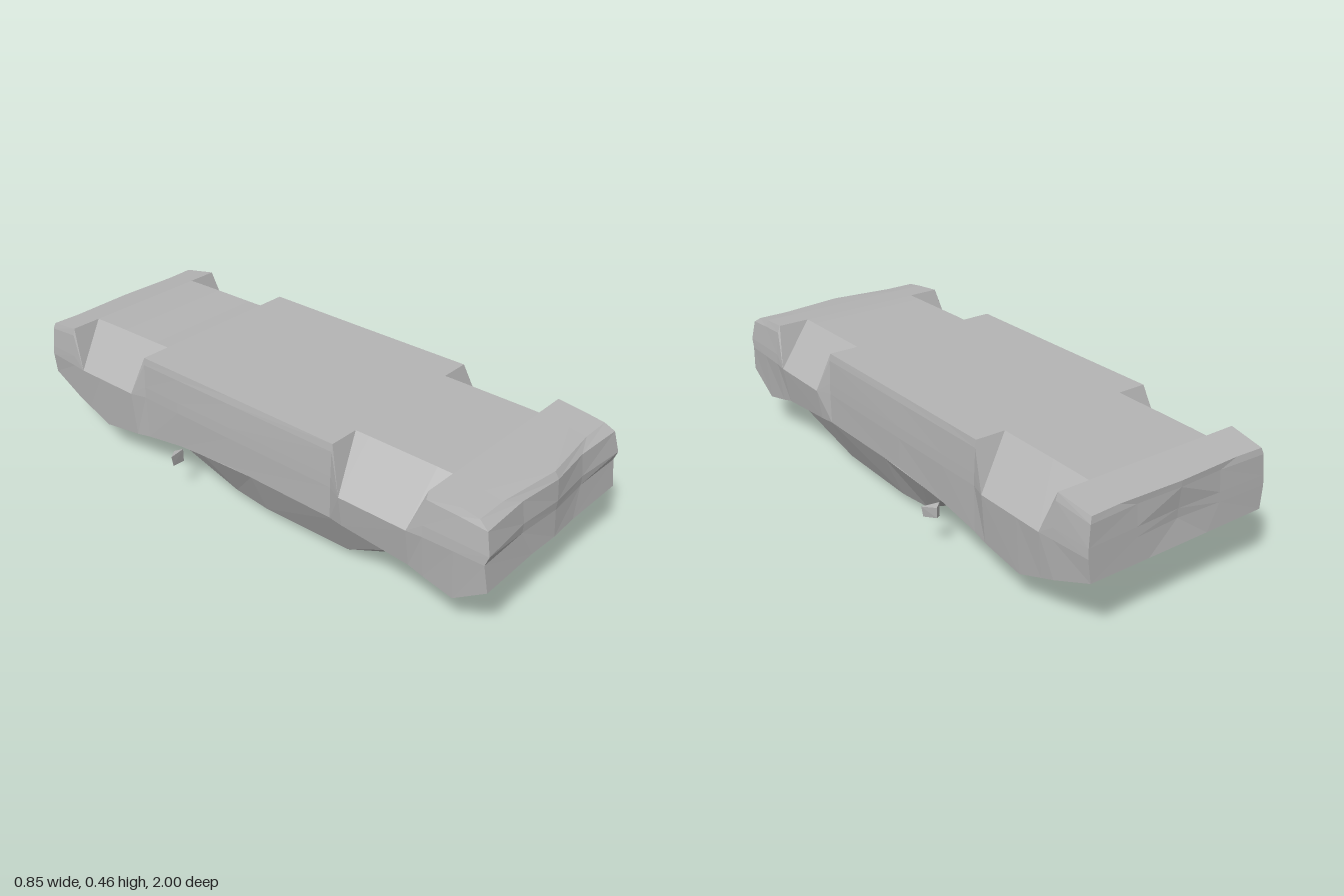
import * as THREE from 'three';
import { ConvexGeometry } from 'three/addons/geometries/ConvexGeometry.js';

const paint = new THREE.MeshStandardMaterial({ color: 0xb4b4b4, flatShading: true, side: THREE.DoubleSide });
paint.name = 'grey paint';

// Skins a grid of [x, y, z] points for the +x half and mirrors it to -x.
function mirroredGrid(name, grids) {
  const pos = [];
  const tri = (p, q, s) => {
    pos.push(...p, ...q, ...s);
    for (const [x, y, z] of [p, s, q]) pos.push(-x, y, z);
  };
  for (const { rows, flip = () => false } of grids) {
    for (let r = 0; r < rows.length - 1; r++) {
      for (let c = 0; c < rows[r].length - 1; c++) {
        const a = rows[r][c], b = rows[r][c + 1], d = rows[r + 1][c], e = rows[r + 1][c + 1];
        if (flip(r, c)) { tri(a, d, e); tri(a, e, b); }
        else { tri(a, d, b); tri(b, d, e); }
      }
    }
  }
  const geo = new THREE.BufferGeometry();
  geo.setAttribute('position', new THREE.Float32BufferAttribute(pos, 3));
  geo.computeVertexNormals();
  const mesh = new THREE.Mesh(geo, paint);
  mesh.name = name;
  return mesh;
}

// Half ring: deck centre, deck, belt edge, waist, two side points, floor edge, floor, floor centre.
// In a wheel arch the floor edge drops to the waist, leaving a sloping cut.
function ring(z, yDeck, xBelt, yBelt, xWaist, xFloor, yFloor, arch = false, dz = []) {
  const yWaist = 0.305;
  const side = (t, y) => arch ? [xWaist, yWaist] : [xWaist + (xFloor - xWaist) * t, y];
  const f = (y) => yWaist + (yFloor - yWaist) * y;
  return [
    [0, yDeck], [0.12, yDeck], [xBelt, yBelt], [xWaist, yWaist],
    side(0.1, f(0.26)), side(0.55, f(0.83)), side(1, yFloor), [0.24, yFloor], [0, yFloor],
  ].map(([x, y], i) => [x, y, z + (dz[i] || 0)]);
}

// End panel: rows run from the floor edge to the belt edge, inset in the middle by given depths.
function endPanel(r, insets) {
  const mid = [5, 4, 3].map((i, k) => {
    const [x, y, z] = r[i];
    return [[0, y, z + insets[k][0]], [0.17, y, z + insets[k][1]], [x, y, z]];
  });
  return [[r[8], r[7], r[6]], ...mid, [r[0], r[1], r[2]]];
}

function createBody() {
  const stations = [
    [1.0, 0.207, 0.37, 0.21, 0.375, 0.355, 0.437, false, [0, -0.005, 0, -0.015, -0.002, -0.02, -0.055, -0.055, -0.025]],
    [0.88, 0.1, 0.365, 0.125, 0.378, 0.355, 0.447],
    [0.77, 0.14, 0.365, 0.15, 0.382, 0.36, 0.457],
    [0.715, 0.165, 0.365, 0.165, 0.388, 0.36, 0.458, true],
    [0.455, 0.19, 0.37, 0.19, 0.388, 0.36, 0.46, true],
    [0.4, 0.19, 0.362, 0.19, 0.362, 0.352, 0.46],
    [-0.05, 0.19, 0.36, 0.19, 0.362, 0.35, 0.46],
    [-0.3, 0.167, 0.355, 0.167, 0.36, 0.35, 0.46],
    [-0.47, 0.128, 0.355, 0.14, 0.358, 0.35, 0.46],
    [-0.53, 0.113, 0.36, 0.13, 0.375, 0.35, 0.459, true],
    [-0.7, 0.08, 0.36, 0.105, 0.375, 0.35, 0.457, true],
    [-0.8, 0.115, 0.36, 0.144, 0.375, 0.35, 0.455, true],
    [-0.855, 0.143, 0.36, 0.165, 0.37, 0.355, 0.453],
    [-1.0, 0.22, 0.35, 0.225, 0.36, 0.345, 0.432, false, [0.005, 0.005, 0, 0.004, 0.006, 0.01, 0.015, 0.02, 0.012]],
  ];
  const rows = stations.map((s) => ring(...s));
  // Turn the floor-edge diagonal where an arch ends.
  const flip = (r, c) => c === 6 && !!stations[r][7] && !stations[r + 1][7];
  return mirroredGrid('body', [
    { rows, flip },
    { rows: endPanel(rows[0], [[0.01, -0.008], [-0.002, -0.015], [0.008, -0.004]]) },
    { rows: endPanel(rows.at(-1), [[0.002, 0.008], [0.012, 0.006], [0.015, 0.006]]).reverse() },
  ]);
}

// Cabin: each row runs from the centre line to the roof corner, then to the belt.
function createCabin() {
  return mirroredGrid('cabin', [{ rows: [
    [[0, 0.165, 0.71], [0.11, 0.165, 0.71], [0.33, 0.172, 0.68], [0.36, 0.185, 0.65]],
    [[0, 0.005, 0.41], [0.11, 0.005, 0.41], [0.28, 0.024, 0.41], [0.36, 0.19, 0.42]],
    [[0, 0, 0.05], [0.11, 0.001, 0.05], [0.285, 0.022, 0.05], [0.36, 0.19, 0.05]],
    [[0, 0.012, -0.14], [0.11, 0.012, -0.14], [0.28, 0.033, -0.1], [0.358, 0.178, -0.18]],
    [[0, 0.157, -0.36], [0.13, 0.157, -0.36], [0.345, 0.165, -0.28], [0.355, 0.169, -0.285]],
  ] }]);
}

function createMirror(s) {
  const points = [
    [0.36, 0.115, -0.285], [0.36, 0.165, -0.285], [0.425, 0.165, -0.275],
    [0.418, 0.126, -0.275], [0.385, 0.122, -0.305], [0.385, 0.16, -0.305],
  ].map(([x, y, z]) => new THREE.Vector3(s * x, y, z));
  const mesh = new THREE.Mesh(new ConvexGeometry(points), paint);
  mesh.name = s > 0 ? 'leftMirror' : 'rightMirror';
  return mesh;
}

export function createModel() {
  const group = new THREE.Group();
  group.name = 'overturnedCarBody';
  group.add(createBody(), createCabin(), createMirror(1), createMirror(-1));
  return group;
}
